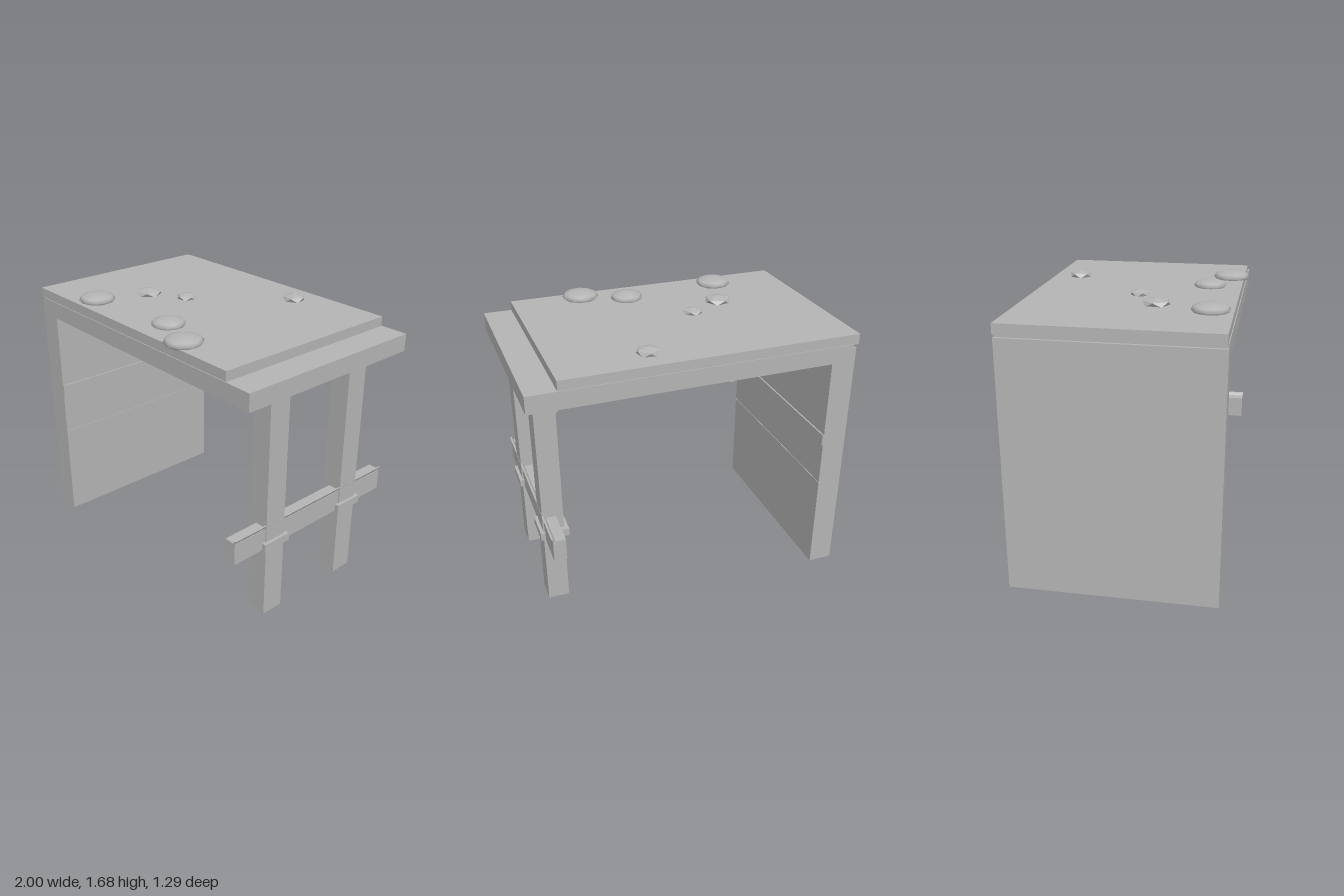
import * as THREE from 'three';

export function createModel() {
  const model = new THREE.Group();
  const stone = new THREE.MeshStandardMaterial({ color: 0xb4b4b4 });
  stone.name = 'plain grey';

  function add(name, geometry) {
    const mesh = new THREE.Mesh(geometry, stone);
    mesh.name = name;
    model.add(mesh);
    return mesh;
  }

  // Box given by its limits on each axis
  function block(name, x0, x1, y0, y1, z0, z1) {
    const mesh = add(name, new THREE.BoxGeometry(x1 - x0, y1 - y0, z1 - z0));
    mesh.position.set((x0 + x1) / 2, (y0 + y1) / 2, (z0 + z1) / 2);
    return mesh;
  }

  // Profile in x and y, extruded along z
  function prism(name, points, z0, z1) {
    const shape = new THREE.Shape(points.map(([x, y]) => new THREE.Vector2(x, y)));
    const mesh = add(name, new THREE.ExtrudeGeometry(shape, { depth: z1 - z0, bevelEnabled: false }));
    mesh.position.z = z0;
    return mesh;
  }

  const back = -0.645, front = 0.612;

  // Roof and side wall
  block('roofSlab', -0.965, 1, 1.467, 1.575, back, front);
  block('roofTop', -1, 0.822, 1.57, 1.635, -0.64, 0.607);
  block('sideWall', -0.983, -0.83, 0, 1.55, back, front);

  // Shallow strips on the inside of the wall
  block('wallStrip', -0.835, -0.82, 0.91, 0.985, back, front);
  block('wallRidge', -0.835, -0.826, 0.625, 0.636, back, front);

  // Thin battens under the roof
  block('ceilingStrip', -0.2, -0.17, 1.462, 1.47, back, front);
  for (const z of [0.46, -0.17]) {
    block('ceilingPlate', -0.28, -0.09, 1.458, 1.47, z - 0.032, z + 0.032);
  }

  // Posts with their braces and collars
  for (const z of [0.302, -0.328]) {
    block('post', 0.79, 0.92, 0, 1.47, z - 0.072, z + 0.072);
    prism('brace', [[0.635, 1.47], [0.795, 1.31], [0.795, 1.47]], z - 0.072, z + 0.072);
    block('collar', 0.764, 0.94, 0.478, 0.527, z - 0.097, z + 0.097);
  }

  // Rail through the posts, with a lip leaning outward
  block('rail', 0.835, 0.912, 0.478, 0.62, back, front);
  prism('railLip', [[0.895, 0.615], [0.907, 0.615], [0.922, 0.64], [0.91, 0.64]], back, front);

  // Flattened rocks: x, y, z, radius, half height, detail, turn
  const rocks = [
    [-0.54, 1.648, 0.475, 0.115, 0.037, 1, 0.3],
    [0.1, 1.645, 0.41, 0.104, 0.037, 1, 0.9],
    [0.38, 1.647, 0.525, 0.116, 0.038, 1, 0.1],
    [-0.435, 1.645, 0.152, 0.092, 0.03, 0, 0.5],
    [-0.207, 1.643, 0.02, 0.069, 0.026, 0, 1.0],
    [0.258, 1.645, -0.468, 0.077, 0.03, 0, 0.2],
  ];
  const tilt = Math.atan(2 / (1 + Math.sqrt(5)));
  for (const [x, y, z, radius, height, detail, turn] of rocks) {
    const rock = new THREE.IcosahedronGeometry(1, detail);
    rock.rotateZ(-tilt).rotateY(turn).scale(radius, height, radius);
    add(detail ? 'largeRock' : 'smallRock', rock).position.set(x, y, z);
  }

  return model;
}
